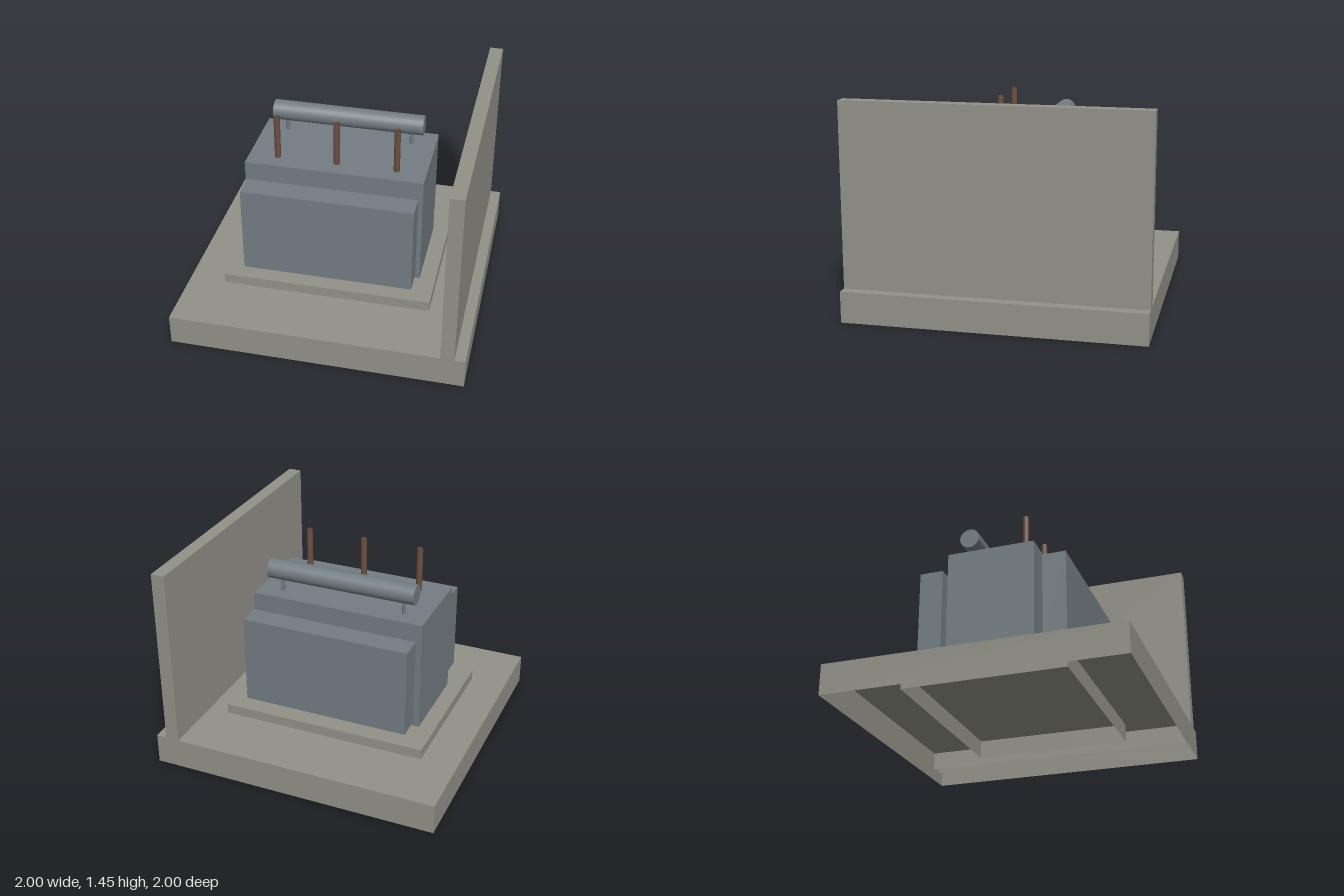
import * as THREE from 'three';

const material = (name, color, side = THREE.FrontSide) => {
  const m = new THREE.MeshStandardMaterial({ color, side });
  m.name = name;
  return m;
};

// Box given by its limits on each axis
function boxGeometry([x0, x1], [y0, y1], [z0, z1]) {
  return new THREE.BoxGeometry(x1 - x0, y1 - y0, z1 - z0)
    .translate((x0 + x1) / 2, (y0 + y1) / 2, (z0 + z1) / 2);
}

// Same box without its underside (third face group, 6 indices per side)
function openBoxGeometry(x, y, z) {
  const geometry = boxGeometry(x, y, z);
  const index = Array.from(geometry.index.array);
  index.splice(18, 6);
  geometry.setIndex(index);
  geometry.clearGroups();
  return geometry;
}

// Upright cylinder between two heights
function postGeometry(radius, y0, y1, x, z, open) {
  return new THREE.CylinderGeometry(radius, radius, y1 - y0, 20, 1, open)
    .translate(x, (y0 + y1) / 2, z);
}

export function createModel() {
  const concrete = material('concrete', 0x929188, THREE.DoubleSide);
  const steel = material('blue grey steel', 0x727d82);
  const ceramic = material('brown ceramic', 0x6b4f40, THREE.DoubleSide);

  const model = new THREE.Group();
  model.name = 'transformer';
  const add = (name, geometry, mat) => {
    const mesh = new THREE.Mesh(geometry, mat);
    mesh.name = name;
    model.add(mesh);
  };

  // Concrete shells, open underneath; plinth and wall reach down into the base
  add('base', openBoxGeometry([-1, 1], [0, 0.21], [-1, 1]), concrete);
  add('plinth', openBoxGeometry([-0.75, 0.69], [0.08, 0.28], [-0.56, 0.55]), concrete);
  add('fireWall', openBoxGeometry([0.835, 0.928], [0.08, 1.445], [-1, 1]), concrete);

  // Main tank and the radiator on either side of it
  add('tank', boxGeometry([-0.64, 0.58], [0.28, 1.06], [-0.305, 0.3]), steel);
  add('frontRadiator', boxGeometry([-0.615, 0.555], [0.34, 0.96], [0.348, 0.51]), steel);
  add('backRadiator', boxGeometry([-0.615, 0.555], [0.34, 0.96], [-0.515, -0.353]), steel);

  // Oil conservator drum on two short legs
  const drum = new THREE.CylinderGeometry(0.069, 0.069, 1.054, 40)
    .rotateZ(Math.PI / 2).translate(-0.029, 1.213, -0.188);
  add('conservator', drum, steel);
  for (const x of [-0.47, 0.412]) {
    add('conservatorLeg', postGeometry(0.013, 1.06, 1.16, x, -0.188, false), steel);
  }

  // Three hollow bushings along the front of the tank top
  for (const x of [-0.44, -0.031, 0.378]) {
    add('bushing', postGeometry(0.021, 1.06, 1.37, x, 0.18, true), ceramic);
  }

  return model;
}
